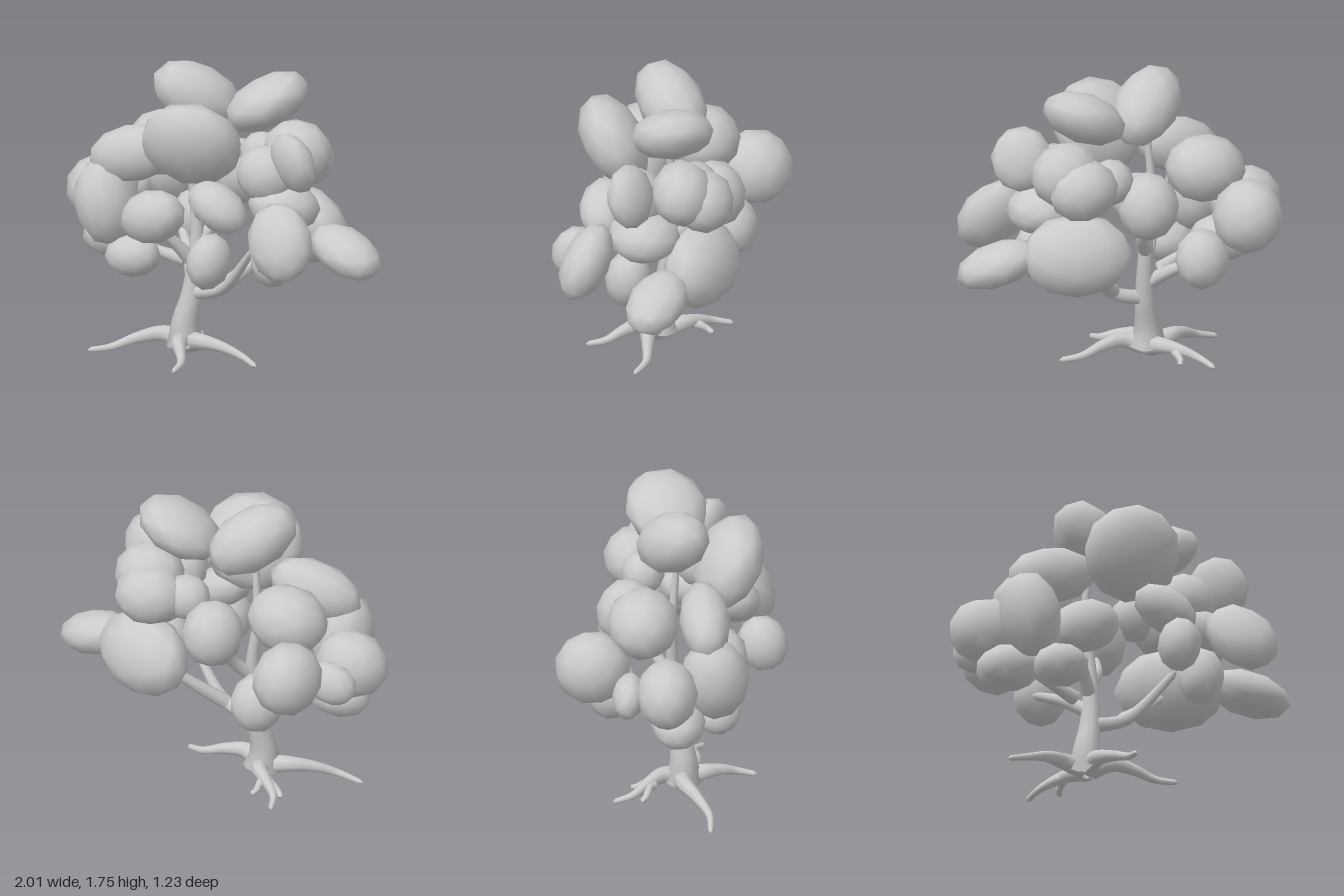
import * as THREE from 'three';
import { mergeVertices } from 'three/addons/utils/BufferGeometryUtils.js';

const material = new THREE.MeshStandardMaterial({ color: 0xcccccc });

// Smooth-shaded coarse ball shared by every leaf clump
function clumpGeometry() {
  const ball = new THREE.IcosahedronGeometry(1.03, 1);
  ball.deleteAttribute('uv');
  ball.deleteAttribute('normal');
  const geometry = mergeVertices(ball, 1e-4);
  geometry.computeVertexNormals();
  return geometry;
}

// Tube along a smooth path; radiusAt(t) gives its thickness, both ends close to a point
function limb(name, points, radiusAt, sides = 8) {
  const curve = new THREE.CatmullRomCurve3(points);
  const segments = points.length * 5;
  const geometry = new THREE.TubeGeometry(curve, segments, 1, sides);
  const position = geometry.attributes.position;
  const v = new THREE.Vector3();
  for (let i = 0; i <= segments; i++) {
    const centre = curve.getPointAt(i / segments);
    const radius = i === 0 || i === segments ? 0.001 : radiusAt(i / segments);
    for (let j = 0; j <= sides; j++) {
      const n = i * (sides + 1) + j;
      v.fromBufferAttribute(position, n).sub(centre).multiplyScalar(radius).add(centre);
      position.setXYZ(n, v.x, v.y, v.z);
    }
  }
  const mesh = new THREE.Mesh(geometry, material);
  mesh.name = name;
  return mesh;
}

const vec = p => new THREE.Vector3(...p);
const taper = (from, to) => t => THREE.MathUtils.lerp(from, to, t);

// Root: runs out from the trunk foot to its tip, winding sideways and arching on the way
function root(start, tip, thickness) {
  const a = vec(start), b = vec(tip);
  const side = new THREE.Vector3(a.z - b.z, 0, b.x - a.x);
  const points = [0, 0.25, 0.5, 0.75, 1].map(t => {
    const p = a.clone().lerp(b, t).addScaledVector(side, 0.06 * Math.sin(t * 2 * Math.PI));
    p.y += 0.17 * a.distanceTo(b) * Math.sin(t * Math.PI) * (1 - t);
    return p;
  });
  return limb('root', points, t => 0.016 + thickness * (1 - t) ** 1.5);
}

// Leaf clump: its top leans inward from front and back unless a tilt is given
function leafClump(geometry, [x, y, z, width, height, depth, ...tilt]) {
  const clump = new THREE.Mesh(geometry, material);
  clump.name = 'leafClump';
  clump.position.set(x, y, z);
  clump.scale.set(width, height, depth);
  if (tilt.length) clump.rotation.set(...tilt);
  else clump.rotation.set(-0.7 * z, 0.1, -0.3 * x);
  return clump;
}

// Strongly tilted clumps: centre, radii, tilt
const tiltedClumps = [
  [-0.01, 1.365, 0.3, 0.29, 0.27, 0.17, 0.5, 0.25, 0],
  [-0.17, 1.55, 0, 0.27, 0.17, 0.18, 0, 0.7, -0.5],
  [0.25, 1.56, -0.08, 0.25, 0.14, 0.23, 0, 0.4, 0.5],
  [0.55, 1.3, 0.11, 0.17, 0.18, 0.1, 0.3, -0.4, 0.2],
  [-0.46, 1.21, 0.21, 0.27, 0.16, 0.14, 0, 0.2, 0.3],
  [-0.6, 0.92, 0.28, 0.17, 0.25, 0.19, 0, 0, 0.2],
  [-0.28, 0.885, 0.29, 0.2, 0.15, 0.14, 0, 0, 0.35],
  [0.18, 1.03, 0.32, 0.19, 0.12, 0.14, 0, 0, -0.5],
  [0.62, 0.905, 0.35, 0.19, 0.23, 0.13, -0.4, 0, 0.55],
  [0.78, 0.765, -0.08, 0.24, 0.12, 0.16, 0, -0.25, -0.3],
  [0.38, 0.82, -0.27, 0.31, 0.23, 0.17, 0.3, -0.3, 0.1],
];

// Plain clumps: centre, radii
const plainClumps = [
  // upper left-hand side of the tree
  [0.4, 1.27, -0.16, 0.2, 0.18, 0.17],
  [0.36, 1.2, 0.1, 0.17, 0.16, 0.15],
  [0.34, 1.2, -0.27, 0.2, 0.17, 0.17],
  [0.14, 1.2, -0.2, 0.13, 0.13, 0.12],
  // lower left-hand side
  [0.45, 1.015, 0.05, 0.2, 0.14, 0.2],
  [0.44, 0.73, 0.14, 0.13, 0.17, 0.13],
  [0.22, 0.755, 0.47, 0.12, 0.16, 0.14],
  // back
  [-0.06, 1.05, -0.27, 0.17, 0.19, 0.17],
  [-0.37, 0.71, -0.32, 0.15, 0.17, 0.14],
  // right-hand side
  [-0.47, 1.18, -0.14, 0.23, 0.19, 0.2],
  [-0.79, 0.9, 0.03, 0.21, 0.19, 0.17],
  [-0.61, 0.96, -0.41, 0.19, 0.21, 0.21],
  [-0.77, 0.87, -0.19, 0.15, 0.12, 0.09],
  [-0.67, 0.67, 0.08, 0.19, 0.13, 0.15],
  [-0.42, 0.63, 0.28, 0.16, 0.12, 0.13],
];

// Branches: fork, elbow, tip
const branches = [
  [[-0.18, 0.39, 0.04], [0.03, 0.455, 0.05], [0.3, 0.75, 0.14]],
  [[0, 0.44, 0.05], [0.16, 0.59, -0.08], [0.36, 0.78, -0.22]],
  [[-0.18, 0.57, 0.03], [-0.25, 0.7, 0.12], [-0.36, 0.85, 0.25]],
  [[-0.18, 0.48, 0.03], [-0.3, 0.59, -0.1], [-0.5, 0.7, -0.3]],
  [[-0.24, 0.56, 0], [-0.38, 0.6, 0.05], [-0.52, 0.65, 0.08]],
  [[-0.17, 0.68, 0.01], [-0.1, 0.8, -0.1], [-0.08, 0.98, -0.24]],
];

export function createModel() {
  const tree = new THREE.Group();
  tree.name = 'tree';

  // Trunk with a flared foot, continuing upward as the leading branch
  const trunkPath = [[-0.2, 0.05, 0.06], [-0.21, 0.2, 0.065], [-0.18, 0.4, 0.035],
    [-0.17, 0.75, 0], [-0.2, 1.05, 0], [-0.18, 1.4, 0.02]].map(vec);
  tree.add(limb('trunk', trunkPath,
    t => 0.02 + 0.065 * (1 - t) ** 1.7 + 0.06 * Math.exp(-18 * t), 12));

  for (const path of branches) tree.add(limb('branch', path.map(vec), taper(0.045, 0.02)));

  // Four main roots and two rootlets at the back
  const foot = [-0.2, 0.1, 0.06];
  for (const tip of [[-0.73, 0.015, 0.27], [0.31, 0.06, 0.13], [-0.03, 0.055, 0.46], [-0.45, 0.045, -0.31]]) {
    tree.add(root(foot, tip, 0.05));
  }
  for (const tip of [[-0.43, 0.045, -0.15], [-0.28, 0.06, -0.22]]) {
    tree.add(root([-0.31, 0.1, -0.09], tip, 0.018));
  }

  // Foliage
  const foliage = new THREE.Group();
  foliage.name = 'foliage';
  const geometry = clumpGeometry();
  for (const clump of [...tiltedClumps, ...plainClumps]) foliage.add(leafClump(geometry, clump));
  tree.add(foliage);
  return tree;
}
